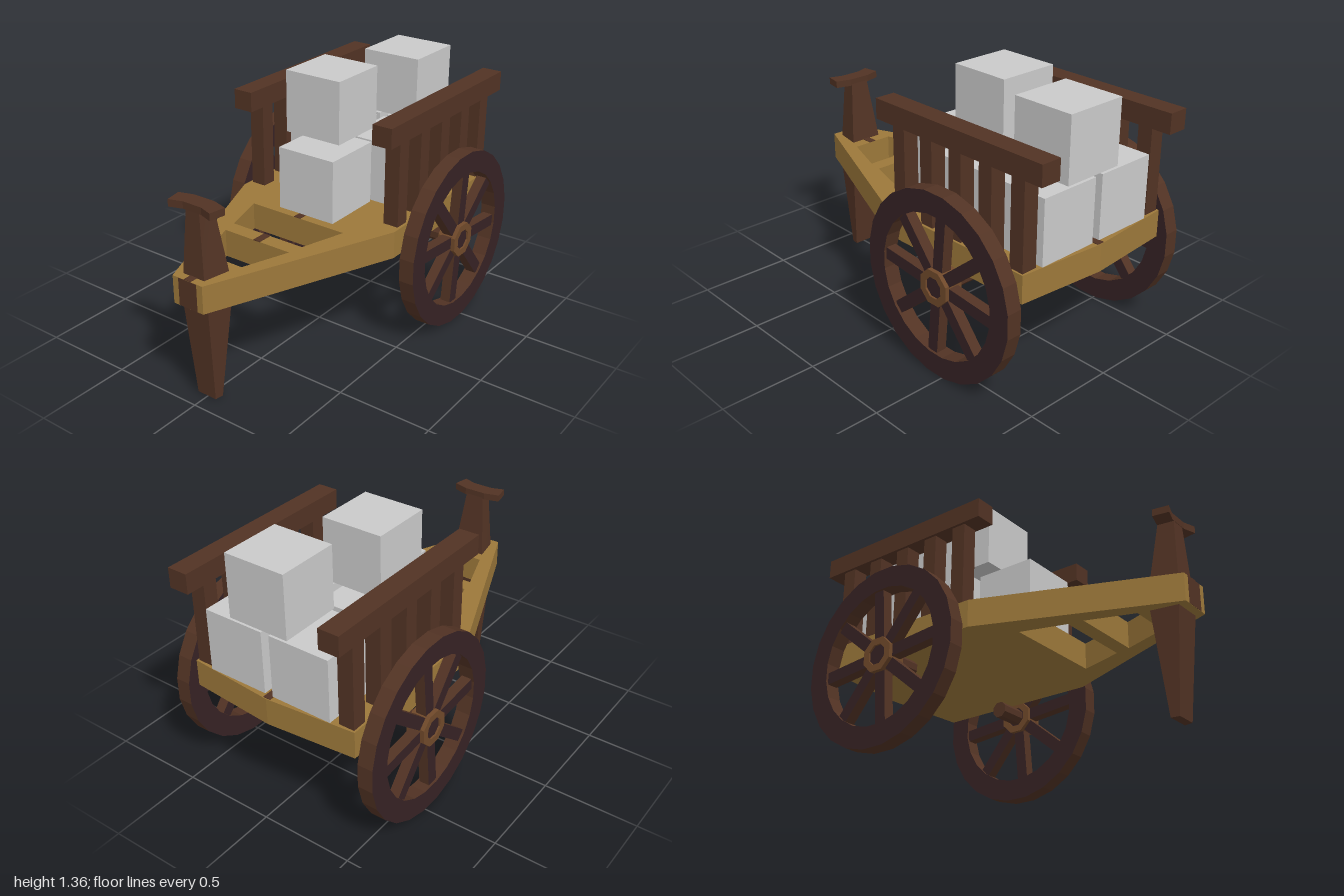
import * as THREE from 'three';

const mat = (name, color) => {
  const m = new THREE.MeshStandardMaterial({ color });
  m.name = name;
  return m;
};

export function createModel() {
  const cart = new THREE.Group();
  cart.name = 'cart';
  const plank = mat('plankYellow', 0x9c783a);
  const wood = mat('brownWood', 0x523324);
  const dark = mat('darkWood', 0x362224);
  const hubWood = mat('hubBrown', 0x70492a);
  const crateGrey = mat('crateGrey', 0xcacaca);

  const add = (parent, name, geo, material, x = 0, y = 0, z = 0) => {
    const m = new THREE.Mesh(geo, material);
    m.name = name;
    m.position.set(x, y, z);
    parent.add(m);
    return m;
  };
  // box given by its limits on each axis
  const block = (name, [x0, x1], [y0, y1], [z0, z1], material) =>
    add(cart, name, new THREE.BoxGeometry(x1 - x0, y1 - y0, z1 - z0), material,
      (x0 + x1) / 2, (y0 + y1) / 2, (z0 + z1) / 2);
  const pts = (list) => list.map(([x, y]) => new THREE.Vector2(x, y));
  // flat x-z outline with its top at the given height
  const slab = (shape, top, depth) => new THREE.ExtrudeGeometry(shape, { depth, bevelEnabled: false })
    .rotateX(Math.PI / 2).translate(0, top, 0);
  const trapezoid = (w0, z0, w1, z1) => pts([[-w0, z0], [w0, z0], [w1, z1], [-w1, z1]]);

  // bed with the two openings of the drawbar frame
  const bed = new THREE.Shape(pts([
    [0, -0.94], [0.48, -0.9], [0.485, 0.03], [0.09, 1], [-0.09, 1], [-0.485, 0.03], [-0.48, -0.9],
  ]));
  bed.holes.push(new THREE.Path(trapezoid(0.287, 0.19, 0.215, 0.43)));
  bed.holes.push(new THREE.Path(trapezoid(0.2, 0.51, 0.113, 0.755)));
  add(cart, 'bed', slab(bed, 0.69, 0.145), plank);

  // dark centre stripe on the bed and crossbars
  for (const z of [[-0.935, 0.19], [0.43, 0.51], [0.755, 1]]) {
    block('centreStripe', [-0.02, 0.02], [0.688, 0.693], z, wood);
  }
  block('frontStripe', [-0.055, 0.055], [0.546, 0.689], [0.997, 1.001], wood);

  // tapered post halves: [back half width, front half width, back z, front z]
  const taper = (name, y0, y1, low, high) => {
    const geo = new THREE.BoxGeometry(2, 1, 1);
    const p = geo.attributes.position;
    for (let i = 0; i < p.count; i++) {
      const up = p.getY(i) > 0, f = p.getZ(i) > 0 ? 1 : 0;
      const s = up ? high : low;
      p.setXYZ(i, Math.sign(p.getX(i)) * s[f], up ? y1 : y0, s[2 + f]);
    }
    geo.computeVertexNormals();
    add(cart, name, geo, wood);
  };
  taper('frontLeg', 0.015, 0.55, [0.063, 0.056, 0.868, 0.912], [0.1, 0.078, 0.815, 0.957]);
  taper('frontPost', 0.68, 1.02, [0.092, 0.065, 0.815, 0.957], [0.052, 0.04, 0.857, 0.94]);

  // bowed handle on the post
  const handle = new THREE.Shape(pts([
    [-0.14, 0.88], [-0.06, 0.857], [0.06, 0.857], [0.14, 0.88],
    [0.125, 0.965], [0.055, 0.942], [-0.055, 0.942], [-0.125, 0.965],
  ]));
  add(cart, 'handle', slab(handle, 1.05, 0.037), wood);

  // ring in the y-z plane, centred on x = 0
  const polygon = (r, n) => pts(Array.from({ length: n }, (_, i) => {
    const a = ((i + 0.5) / n) * Math.PI * 2;
    return [r * Math.cos(a), r * Math.sin(a)];
  }));
  const ring = (outer, inner, n, depth) => {
    const s = new THREE.Shape(polygon(outer, n));
    s.holes.push(new THREE.Path(polygon(inner, n)));
    return new THREE.ExtrudeGeometry(s, { depth, bevelEnabled: false })
      .translate(0, 0, -depth / 2).rotateY(Math.PI / 2);
  };

  const postZ = [-0.06, -0.255, -0.452, -0.65, -0.85];
  for (const s of [1, -1]) {
    const side = s > 0 ? 'left' : 'right';

    // side rail on five uprights
    block(side + 'Rail', [s * 0.43 - 0.055, s * 0.43 + 0.055], [1.145, 1.25], [-1, 0.085], wood);
    for (const z of postZ) {
      block(side + 'Upright', [s * 0.428 - 0.042, s * 0.428 + 0.042], [0.68, 1.15], [z - 0.04, z + 0.04], wood);
    }

    // spoked wheel: dark faces, brown tread
    const wheel = new THREE.Group();
    wheel.name = side + 'Wheel';
    wheel.position.set(s * 0.559, 0.488, -0.453);
    cart.add(wheel);
    add(wheel, 'rim', ring(0.484, 0.37, 24, 0.082), [dark, wood]);
    for (let i = 0; i < 8; i++) {
      const spoke = new THREE.BoxGeometry(0.056, 0.31, 0.064).translate(0, 0.225, 0);
      add(wheel, 'spoke', spoke, [dark, dark, wood, wood, wood, wood])
        .rotation.x = (i * Math.PI) / 4 - 0.09;
    }
    add(wheel, 'hub', ring(0.095, 0.056, 8, 0.1), hubWood);

    // short axle stub reaching under the bed
    const axle = new THREE.CylinderGeometry(0.057, 0.057, 0.08, 8, 1, false, Math.PI / 8).rotateZ(Math.PI / 2);
    add(wheel, 'axleEnd', axle, dark);
    const stub = new THREE.CylinderGeometry(0.046, 0.046, 0.19, 8, 1, false, Math.PI / 8).toNonIndexed();
    stub.computeVertexNormals();
    stub.rotateZ(Math.PI / 2);
    add(wheel, 'axle', stub, wood, -s * 0.104);
  }

  // cargo crates: centre x, bottom y, centre z
  const crates = [
    [-0.183, 0.692, -0.743], [0.198, 0.692, -0.743],
    [-0.183, 0.692, -0.377], [0.198, 0.692, -0.377],
    [0.025, 0.695, -0.018],
    [0.047, 1.037, -0.741], [-0.078, 1.031, -0.212],
  ];
  for (const [x, y, z] of crates) {
    add(cart, 'crate', new THREE.BoxGeometry(0.335, 0.335, 0.335), crateGrey, x, y + 0.1675, z);
  }
  return cart;
}
